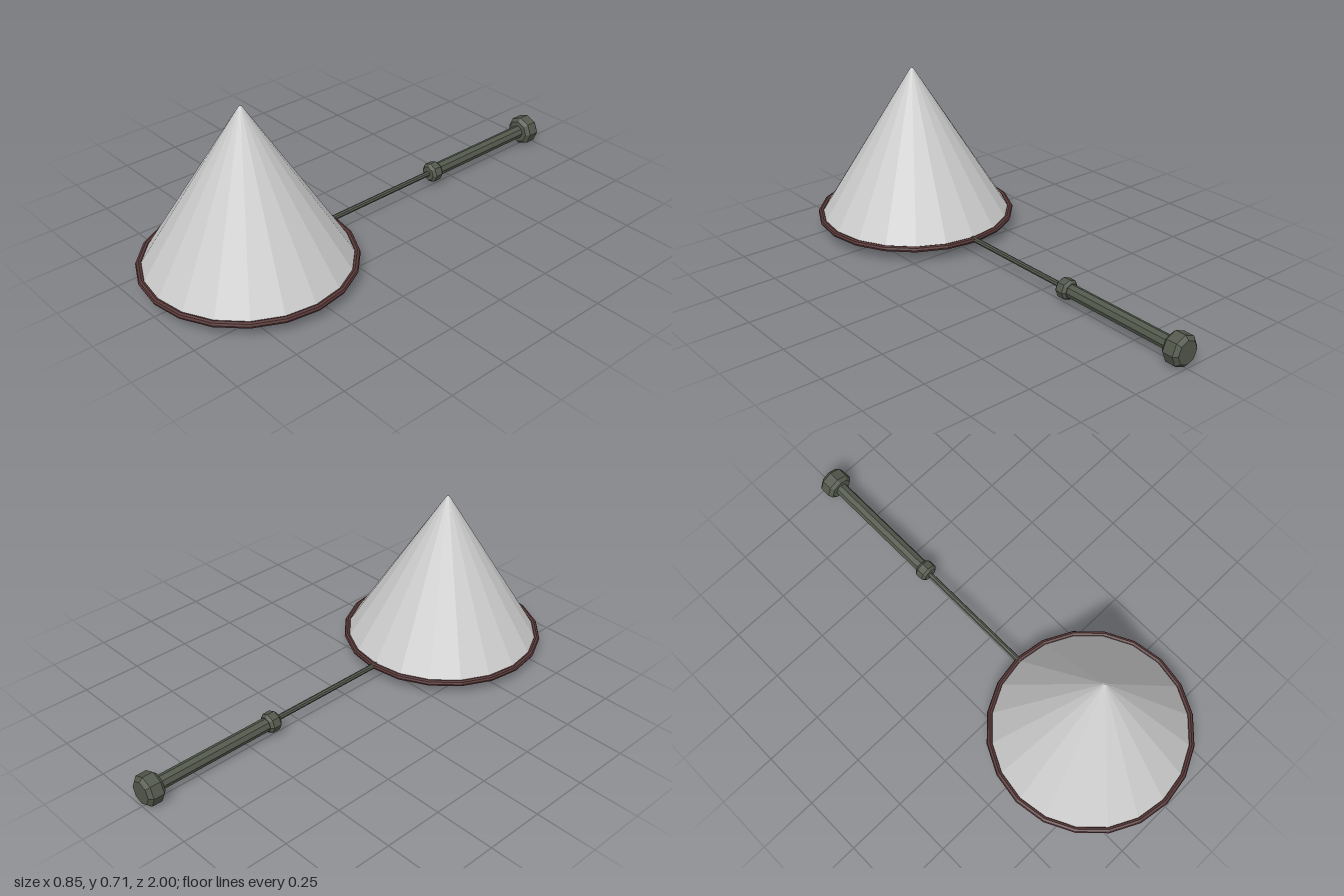
import * as THREE from 'three';

const SIDES = 20;      // sides of hoops and netting
const Y = 0.066;       // height of hoop plane and handle axis
const NET_Z = 0.577;   // hoop centre

const material = (color, side = THREE.FrontSide) =>
  new THREE.MeshStandardMaterial({ color, side, flatShading: true });

function lathe(name, points, sides, mat) {
  const profile = points.map(([r, y]) => new THREE.Vector2(r, y));
  const mesh = new THREE.Mesh(new THREE.LatheGeometry(profile, sides), mat);
  mesh.name = name;
  return mesh;
}

export function createModel() {
  const model = new THREE.Group();
  model.name = 'handNet';

  const metal = material(0x53584c);
  const cloth = material(0xcccccc, THREE.DoubleSide);

  // Three concentric hoops, each carrying a cone of netting
  const hoops = [
    { name: 'outer', radius: 0.41, tube: 0.0125, top: 0.709, mat: material(0x583838) },
    { name: 'middle', radius: 0.25, tube: 0.01, top: 0.69, mat: metal },
    { name: 'inner', radius: 0.17, tube: 0.009, top: 0.67, mat: material(0x565a78) },
  ];
  for (const { name, radius, tube, top, mat } of hoops) {
    const ring = new THREE.TorusGeometry(radius, tube, 8, SIDES).rotateX(Math.PI / 2);
    const hoop = new THREE.Mesh(ring, mat);
    hoop.name = name + 'Hoop';
    hoop.position.set(0, Y, NET_Z);

    const net = lathe(name + 'Net', [
      [radius - 0.007, Y], [0.012, top - 0.012], [0.005, top - 0.003], [0, top],
    ], SIDES, cloth);
    net.position.z = NET_Z;
    model.add(hoop, net);
  }

  // Handle parts: profiles run backwards along -z
  const handle = new THREE.Group();
  handle.name = 'handle';
  handle.position.y = Y;
  handle.rotation.x = -Math.PI / 2;

  // Thin rod reaching in to the inner hoop
  handle.add(lathe('rod', [[0, -0.41], [0.011, -0.41], [0.011, 0.4], [0, 0.4]], 8, metal));

  // Grip
  handle.add(lathe('grip', [[0, 0.39], [0.028, 0.39], [0.028, 0.95], [0, 0.95]], 8, metal));

  // Bevelled collar and pommel
  const bevelled = (name, z0, z1, r, b) => lathe(name, [
    [0, z0], [r - b, z0], [r, z0 + b], [r, z1 - b], [r - b, z1], [0, z1],
  ], 8, metal);
  handle.add(bevelled('collar', 0.363, 0.418, 0.042, 0.011));
  handle.add(bevelled('pommel', 0.925, 1.0, 0.063, 0.015));

  model.add(handle);
  return model;
}
